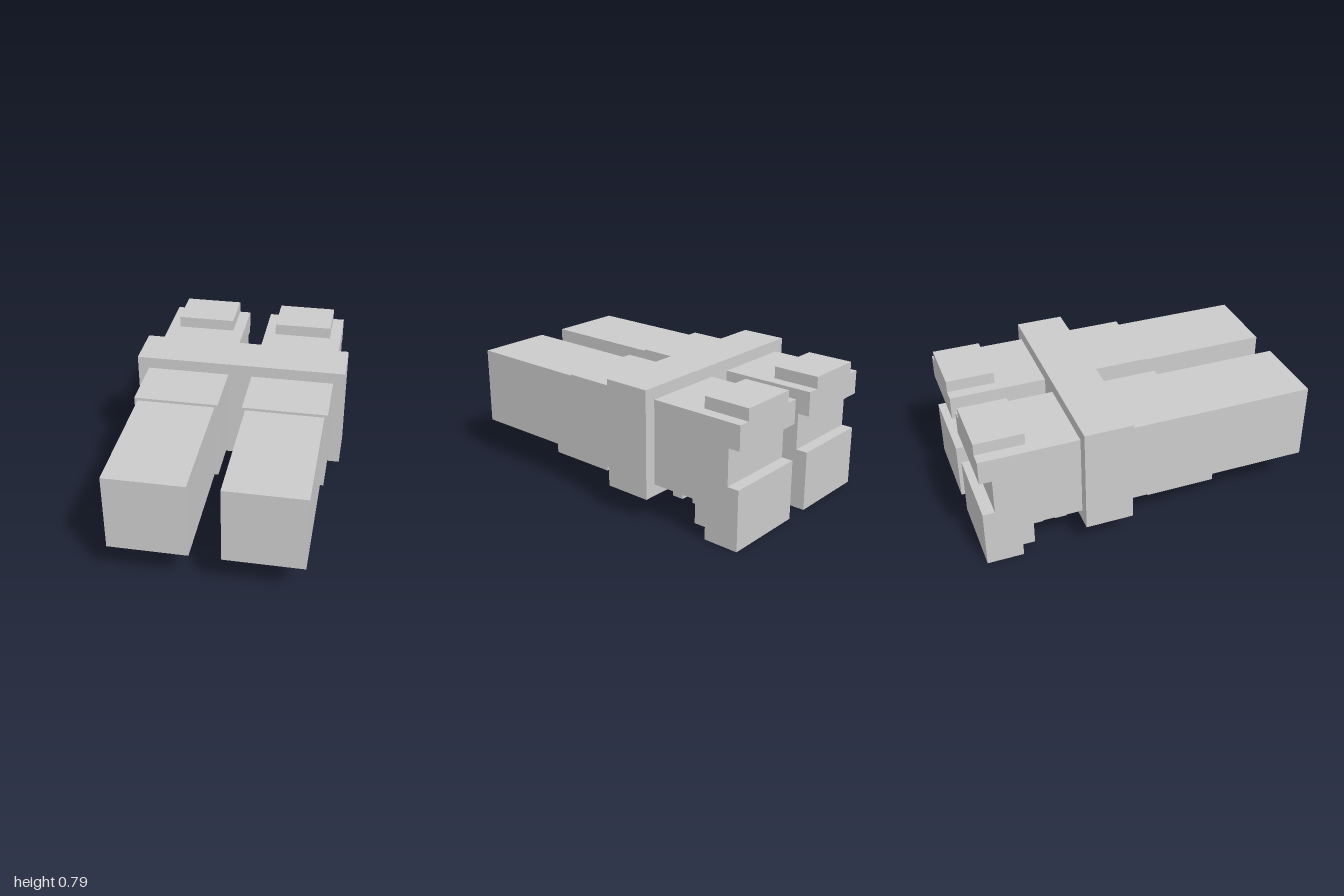
import * as THREE from 'three';

const material = new THREE.MeshStandardMaterial({ color: 0xcccccc, flatShading: true });

// Box given by its extents along each axis
function block(name, [x0, x1], [y0, y1], [z0, z1]) {
  const mesh = new THREE.Mesh(new THREE.BoxGeometry(x1 - x0, y1 - y0, z1 - z0), material);
  mesh.position.set((x0 + x1) / 2, (y0 + y1) / 2, (z0 + z1) / 2);
  mesh.name = name;
  return mesh;
}

// Side profile (distance backwards, height) with a rear notch and a stepped foot
function createBody() {
  const profile = [
    [-0.22, 0.218], [0.715, 0.218], [0.715, 0.075], [0.785, 0.075], [0.785, 0], [1, 0],
    [1, 0.36], [0.93, 0.36], [0.93, 0.578], [1, 0.578], [1, 0.722], [-0.22, 0.722],
  ].map(([u, y]) => new THREE.Vector2(u, y));
  const geometry = new THREE.ExtrudeGeometry(new THREE.Shape(profile), { depth: 0.502, bevelEnabled: false });
  geometry.rotateY(Math.PI / 2).translate(-0.251, 0, 0);
  const mesh = new THREE.Mesh(geometry, material);
  mesh.name = 'body';
  return mesh;
}

// One of the two parallel units, centred on its own x = 0
function createUnit(name) {
  const unit = new THREE.Group();
  unit.name = name;
  const padX = [-0.18, 0.18];
  const padY = [0.147, 0.218];
  unit.add(
    createBody(),
    block('frontBarrel', [-0.232, 0.232], [0.235, 0.705], [0.22, 1]),
    block('topPad', padX, [0.722, 0.793], [-1, -0.715]),
    block('frontBottomPad', [-0.18, 0.18], [0.147, 0.218], [0.01, 0.22]),
    block('frontBottomPadTip', padX, padY, [0.22, 0.435]),
    block('bottomRib', padX, padY, [-0.57, -0.5]),
    block('rearBottomRib', padX, padY, [-0.715, -0.64]),
  );
  return unit;
}

export function createModel() {
  const model = new THREE.Group();
  model.name = 'twinBlocks';
  for (const side of [1, -1]) {
    const unit = createUnit(side > 0 ? 'leftUnit' : 'rightUnit');
    unit.position.x = side * 0.323;
    model.add(unit);
  }
  // Band joining both units
  model.add(block('crossBand', [-0.643, 0.643], [0.147, 0.793], [-0.425, -0.14]));
  return model;
}
